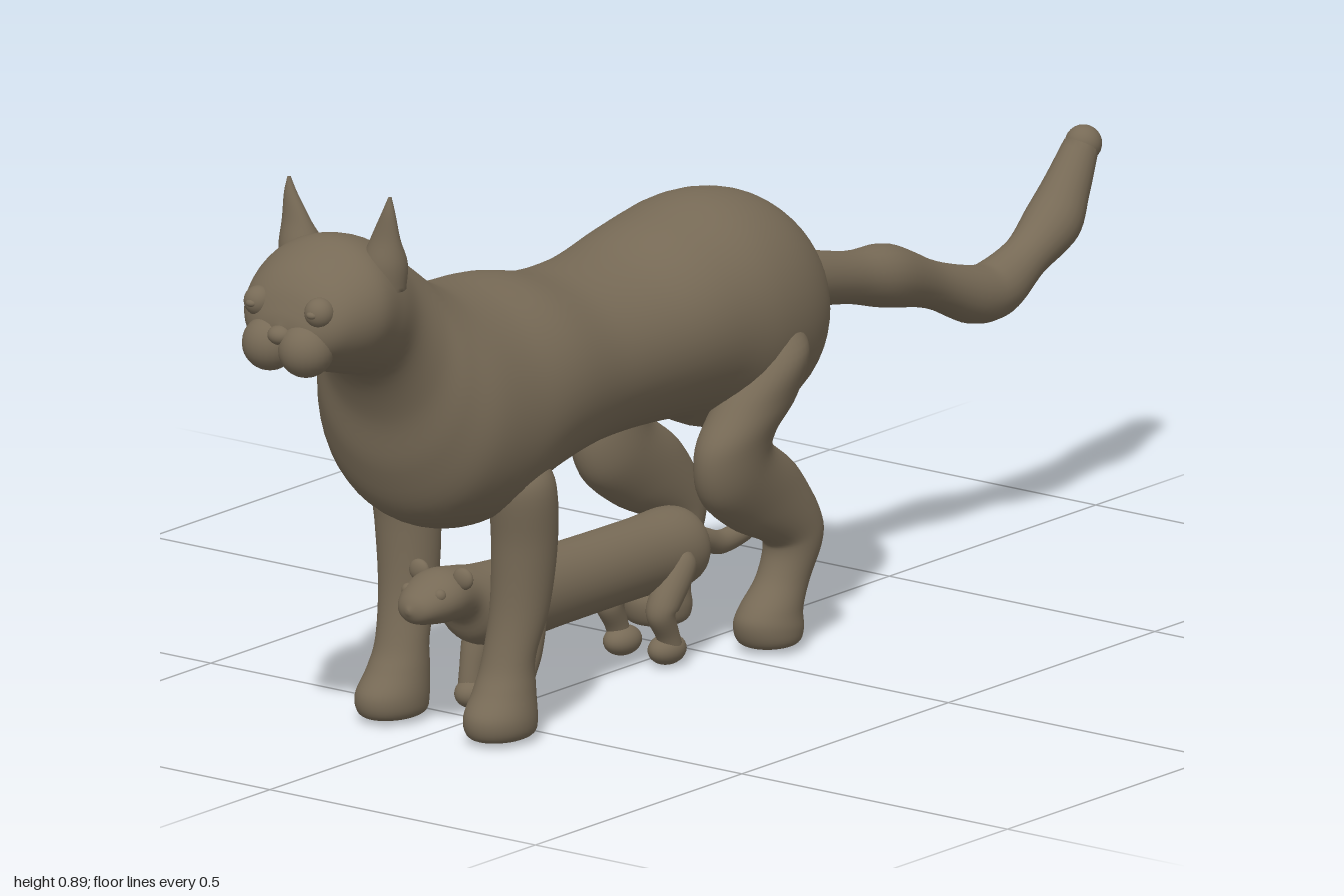
import * as THREE from 'three';

const fur = new THREE.MeshStandardMaterial({ color: 0x776a56 });
fur.name = 'brownFur';

// Smooth skin through elliptical sections [zA, yA, zB, yB, x, halfWidth];
// A and B are the opposite ends of each ellipse in the side plane.
function loft(name, sections, mirror = 1, sides = 32, steps = 6) {
  const curve = (pts) => new THREE.CatmullRomCurve3(pts, false, 'catmullrom', 0.5);
  const a = curve(sections.map(s => new THREE.Vector3(s[4] * mirror, s[1], s[0])));
  const b = curve(sections.map(s => new THREE.Vector3(s[5], s[3], s[2])));
  const rings = (sections.length - 1) * steps;
  const pos = [], index = [];
  for (let i = 0; i <= rings; i++) {
    const p = a.getPoint(i / rings), q = b.getPoint(i / rings);
    const w = Math.max(q.x, 0.0005);
    for (let j = 0; j < sides; j++) {
      const t = (j / sides) * Math.PI * 2, c = Math.cos(t), s = Math.sin(t);
      pos.push(p.x + w * c, (p.y + q.y) / 2 + (p.y - q.y) / 2 * s, (p.z + q.z) / 2 + (p.z - q.z) / 2 * s);
      if (i < rings) {
        const k = i * sides + j, n = i * sides + (j + 1) % sides;
        index.push(k, n, k + sides, n, n + sides, k + sides);
      }
    }
  }
  // Close both ends
  const last = rings * sides;
  for (let j = 1; j < sides - 1; j++) {
    index.push(0, j + 1, j, last, last + j, last + j + 1);
  }
  const g = new THREE.BufferGeometry();
  g.setAttribute('position', new THREE.Float32BufferAttribute(pos, 3));
  g.setIndex(index);
  g.computeVertexNormals();
  const mesh = new THREE.Mesh(g, fur);
  mesh.name = name;
  return mesh;
}

// Round limb along a path of [z, y, radius]
function rod(name, path, x = 0, mirror = 1) {
  const sections = path.map(([z, y, r], i) => {
    const p = path[Math.max(i - 1, 0)], n = path[Math.min(i + 1, path.length - 1)];
    const dz = n[0] - p[0], dy = n[1] - p[1], l = Math.hypot(dz, dy);
    const nz = -dy / l * r, ny = dz / l * r;
    return [z + nz, y + ny, z - nz, y - ny, x, r];
  });
  return loft(name, sections, mirror, 20);
}

function ball(name, x, y, z, rx, ry = rx, rz = rx) {
  const m = new THREE.Mesh(new THREE.SphereGeometry(1, 24, 16), fur);
  m.name = name;
  m.position.set(x, y, z);
  m.scale.set(rx, ry, rz);
  return m;
}

function createCat() {
  const cat = new THREE.Group();
  cat.name = 'cat';

  // Rump, trunk, chest, neck and head in one skin
  cat.add(loft('body', [
    [-0.25, 0.515, -0.25, 0.505, 0, 0.003],
    [-0.235, 0.59, -0.235, 0.425, 0, 0.075],
    [-0.19, 0.645, -0.19, 0.365, 0, 0.13],
    [-0.12, 0.685, -0.12, 0.335, 0, 0.163],
    [-0.03, 0.698, -0.03, 0.337, 0, 0.175],
    [0.08, 0.68, 0.06, 0.372, 0, 0.168],
    [0.20, 0.655, 0.20, 0.385, 0, 0.16],
    [0.33, 0.655, 0.33, 0.383, 0, 0.163],
    [0.45, 0.68, 0.46, 0.36, 0, 0.177],
    [0.55, 0.688, 0.58, 0.32, 0, 0.18],
    [0.62, 0.703, 0.68, 0.35, 0, 0.172],
    [0.67, 0.728, 0.725, 0.43, 0, 0.145],
    [0.71, 0.758, 0.745, 0.52, 0, 0.117],
    [0.75, 0.787, 0.785, 0.59, 0, 0.103],
    [0.80, 0.815, 0.84, 0.61, 0, 0.112],
    [0.86, 0.825, 0.89, 0.625, 0, 0.12],
    [0.92, 0.80, 0.93, 0.64, 0, 0.104],
    [0.952, 0.77, 0.96, 0.655, 0, 0.08],
    [0.97, 0.735, 0.975, 0.68, 0, 0.045],
    [0.977, 0.712, 0.977, 0.708, 0, 0.002],
  ], 1, 48));

  for (const s of [1, -1]) {
    const side = s > 0 ? 'left' : 'right';

    // Ear: flat, pointed, leaning outward
    cat.add(loft(side + 'Ear', [
      [0.835, 0.895, 0.828, 0.895, 0.095, 0.002],
      [0.84, 0.87, 0.822, 0.87, 0.092, 0.011],
      [0.845, 0.83, 0.81, 0.83, 0.084, 0.024],
      [0.855, 0.79, 0.79, 0.79, 0.078, 0.036],
      [0.855, 0.75, 0.79, 0.75, 0.075, 0.036],
    ].reverse().map(([zA, yA, zB, yB, x, w]) => [zB, yB, zA, yA, x, w]), s, 24));

    // Face
    cat.add(ball(side + 'Eye', s * 0.057, 0.737, 0.953, 0.023));
    cat.add(ball(side + 'Pupil', s * 0.057, 0.737, 0.972, 0.009, 0.006, 0.007));
    cat.add(ball(side + 'Cheek', s * 0.034, 0.677, 0.956, 0.042, 0.042, 0.042));

    // Straight front leg with paw
    cat.add(loft(side + 'FrontLeg', [
      [0.56, 0.435, 0.50, 0.435, 0.11, 0.03],
      [0.585, 0.39, 0.485, 0.39, 0.115, 0.05],
      [0.575, 0.30, 0.475, 0.30, 0.11, 0.05],
      [0.575, 0.20, 0.485, 0.20, 0.105, 0.045],
      [0.59, 0.12, 0.51, 0.13, 0.10, 0.041],
      [0.61, 0.08, 0.51, 0.08, 0.10, 0.045],
      [0.635, 0.045, 0.51, 0.03, 0.102, 0.051],
      [0.63, 0.014, 0.515, 0.012, 0.102, 0.045],
      [0.60, 0.004, 0.54, 0.004, 0.102, 0.02],
    ], s));

    // Bent hind leg: thigh, knee, hock, paw
    cat.add(loft(side + 'HindLeg', [
      [-0.03, 0.53, -0.07, 0.535, 0.12, 0.03],
      [0.01, 0.465, -0.10, 0.485, 0.13, 0.06],
      [0.06, 0.40, -0.09, 0.41, 0.125, 0.055],
      [0.10, 0.335, -0.055, 0.365, 0.118, 0.05],
      [0.085, 0.26, -0.05, 0.335, 0.113, 0.049],
      [0.015, 0.205, -0.115, 0.285, 0.11, 0.045],
      [-0.06, 0.17, -0.165, 0.215, 0.11, 0.043],
      [-0.075, 0.15, -0.175, 0.165, 0.11, 0.042],
      [-0.06, 0.11, -0.145, 0.10, 0.108, 0.039],
      [-0.025, 0.07, -0.13, 0.06, 0.106, 0.045],
      [-0.015, 0.045, -0.13, 0.03, 0.105, 0.05],
      [-0.025, 0.016, -0.12, 0.014, 0.105, 0.045],
      [-0.05, 0.006, -0.10, 0.006, 0.105, 0.02],
    ], s));
  }
  cat.add(ball('nose', 0, 0.698, 0.975, 0.02, 0.015, 0.018));

  // Knobbly tail with a raised tip
  cat.add(rod('tail', [
    [-0.20, 0.525, 0.042], [-0.28, 0.51, 0.043], [-0.40, 0.485, 0.04], [-0.49, 0.468, 0.048],
    [-0.60, 0.43, 0.036], [-0.70, 0.393, 0.044], [-0.76, 0.392, 0.044], [-0.83, 0.423, 0.036],
    [-0.895, 0.462, 0.044], [-0.93, 0.51, 0.036], [-0.965, 0.565, 0.027],
  ]));
  cat.add(ball('tailTip', 0, 0.567, -0.97, 0.028));
  return cat;
}

function createKitten() {
  const kitten = new THREE.Group();
  kitten.name = 'kitten';

  // Long trunk, neck and small head
  kitten.add(loft('kittenBody', [
    [-0.02, 0.17, -0.02, 0.16, 0, 0.003],
    [-0.012, 0.20, -0.012, 0.125, 0, 0.038],
    [0.02, 0.225, 0.02, 0.102, 0, 0.06],
    [0.12, 0.225, 0.12, 0.106, 0, 0.058],
    [0.30, 0.228, 0.30, 0.106, 0, 0.058],
    [0.43, 0.234, 0.44, 0.106, 0, 0.062],
    [0.50, 0.24, 0.52, 0.125, 0, 0.058],
    [0.545, 0.248, 0.55, 0.165, 0, 0.046],
    [0.59, 0.253, 0.60, 0.172, 0, 0.05],
    [0.625, 0.243, 0.63, 0.176, 0, 0.043],
    [0.655, 0.225, 0.655, 0.183, 0, 0.027],
    [0.667, 0.207, 0.667, 0.199, 0, 0.003],
  ]));

  for (const s of [1, -1]) {
    const side = s > 0 ? 'Left' : 'Right';
    kitten.add(ball('kitten' + side + 'Ear', s * 0.041, 0.243, 0.585, 0.018, 0.017, 0.01));
    kitten.add(ball('kitten' + side + 'Eye', s * 0.03, 0.224, 0.627, 0.01));

    // Short legs, each ending in a round paw
    kitten.add(rod('kitten' + side + 'FrontLeg', [
      [0.42, 0.165, 0.008], [0.425, 0.15, 0.022], [0.438, 0.10, 0.024], [0.45, 0.06, 0.02], [0.455, 0.025, 0.02],
    ], 0.046, s));
    kitten.add(ball('kitten' + side + 'FrontPaw', s * 0.042, 0.025, 0.455, 0.026, 0.023, 0.03));
    kitten.add(rod('kitten' + side + 'HindLeg', [
      [0.055, 0.175, 0.008], [0.065, 0.155, 0.024], [0.105, 0.105, 0.025], [0.115, 0.085, 0.022],
      [0.10, 0.055, 0.018], [0.09, 0.03, 0.018],
    ], 0.048, s));
    kitten.add(ball('kitten' + side + 'HindPaw', s * 0.042, 0.027, 0.092, 0.026, 0.023, 0.034));
  }

  // Tail
  kitten.add(rod('kittenTail', [
    [0.0, 0.175, 0.02], [-0.05, 0.158, 0.018], [-0.09, 0.145, 0.018], [-0.14, 0.15, 0.017], [-0.18, 0.163, 0.016],
  ]));
  kitten.add(ball('kittenTailTip', 0, 0.165, -0.18, 0.018));
  return kitten;
}

export function createModel() {
  const model = new THREE.Group();
  model.name = 'catAndKitten';
  model.add(createCat(), createKitten());
  return model;
}
